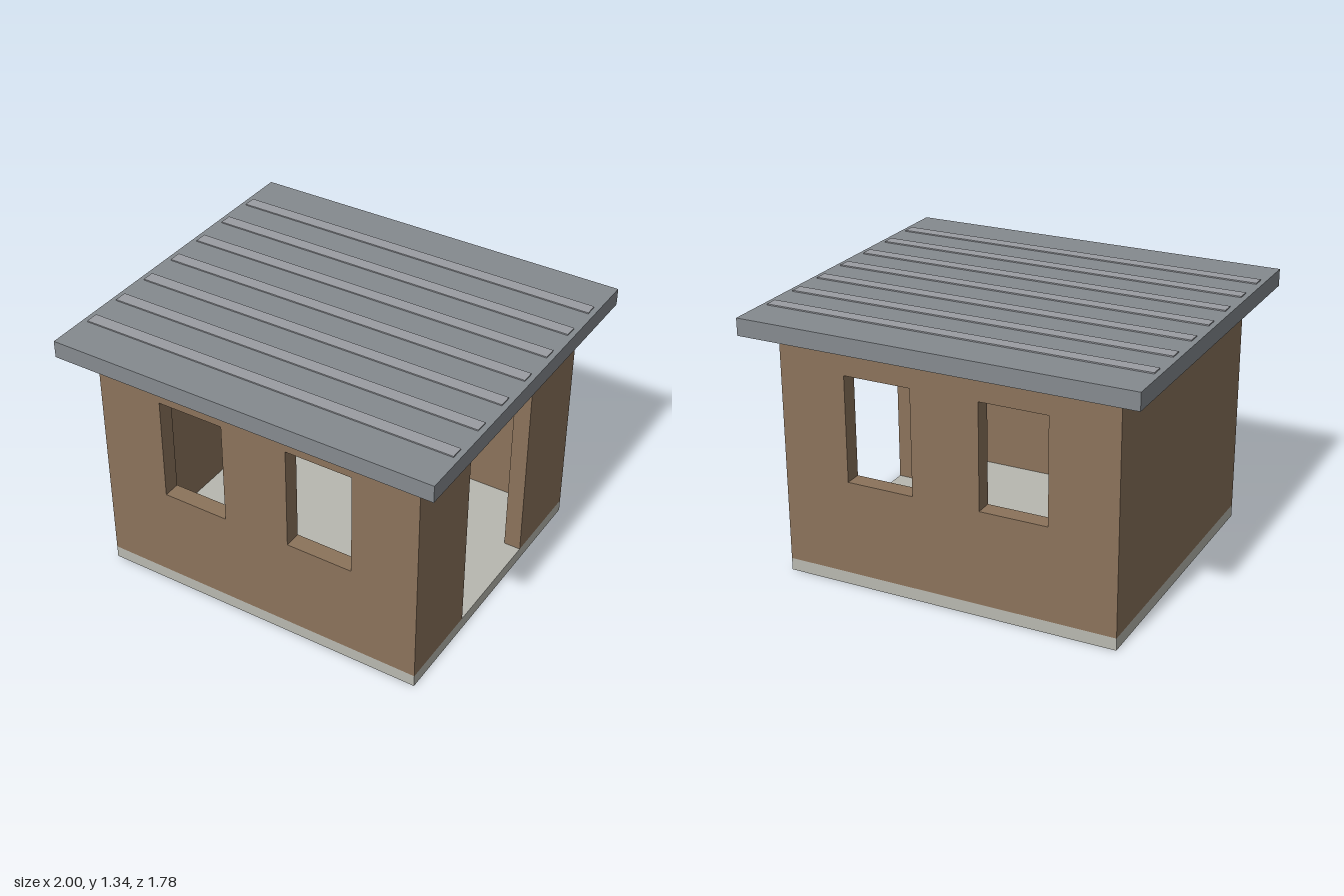
import * as THREE from 'three';

const HALF_X = 0.864, HALF_Z = 0.756, THICK = 0.087;
const FLOOR = 0.063, EAVES = 1.245, ROOF_TOP = 1.332, LINTEL_TOP = 1.19;

const material = (color) => new THREE.MeshStandardMaterial({ color, flatShading: true });

function box(name, w, h, d, x, y, z, mat) {
  const mesh = new THREE.Mesh(new THREE.BoxGeometry(w, h, d), mat);
  mesh.name = name;
  mesh.position.set(x, y, z);
  return mesh;
}

// Wall panel centred on its own x and z; each opening has a lintel with a slot above it.
function wall(name, width, openings, mat) {
  const half = width / 2;
  const shape = new THREE.Shape();
  shape.moveTo(-half, FLOOR);
  // bottom edge, notched for doors
  for (const { c, w, y0, y1 } of openings) {
    if (y0 > FLOOR) continue;
    shape.lineTo(c - w / 2, FLOOR);
    shape.lineTo(c - w / 2, y1);
    shape.lineTo(c + w / 2, y1);
    shape.lineTo(c + w / 2, FLOOR);
  }
  shape.lineTo(half, FLOOR);
  shape.lineTo(half, EAVES);
  // top edge, notched above every lintel
  for (const { c, w } of [...openings].reverse()) {
    shape.lineTo(c + w / 2, EAVES);
    shape.lineTo(c + w / 2, LINTEL_TOP);
    shape.lineTo(c - w / 2, LINTEL_TOP);
    shape.lineTo(c - w / 2, EAVES);
  }
  shape.lineTo(-half, EAVES);
  shape.closePath();
  // window holes
  for (const { c, w, y0, y1 } of openings) {
    if (y0 <= FLOOR) continue;
    const hole = new THREE.Path();
    hole.moveTo(c - w / 2, y0);
    hole.lineTo(c - w / 2, y1);
    hole.lineTo(c + w / 2, y1);
    hole.lineTo(c + w / 2, y0);
    hole.closePath();
    shape.holes.push(hole);
  }
  const geometry = new THREE.ExtrudeGeometry(shape, { depth: THICK, bevelEnabled: false });
  geometry.translate(0, 0, -THICK / 2);
  const mesh = new THREE.Mesh(geometry, mat);
  mesh.name = name;
  return mesh;
}

export function createModel() {
  const group = new THREE.Group();
  group.name = 'hut';
  const brown = material(0x8b735b);
  const concrete = material(0xb8b8b0);
  const roofGrey = material(0x858a8f);
  const ribGrey = material(0x9a9da2);

  // floor slab
  group.add(box('floorSlab', HALF_X * 2, FLOOR, HALF_Z * 2, 0, FLOOR / 2, 0, concrete));

  // front and back walls with two windows each
  const windows = [-0.347, 0.347].map((c) => ({ c, w: 0.346, y0: 0.545, y1: 1.085 }));
  for (const [name, side] of [['frontWall', 1], ['backWall', -1]]) {
    const panel = wall(name, HALF_X * 2, windows, brown);
    panel.position.z = side * (HALF_Z - THICK / 2);
    group.add(panel);
  }

  // side walls between them: doorway on the left, plain on the right
  const sideWidth = (HALF_Z - THICK) * 2;
  const door = [{ c: 0, w: 0.6, y0: FLOOR, y1: 1.136 }];
  for (const [name, side, openings] of [['leftDoorWall', 1, door], ['rightWall', -1, []]]) {
    const panel = wall(name, sideWidth, openings, brown);
    panel.rotation.y = Math.PI / 2;
    panel.position.x = side * (HALF_X - THICK / 2);
    group.add(panel);
  }

  // flat roof with shallow ribs
  group.add(box('roof', 2, ROOF_TOP - EAVES, 1.78, 0, (ROOF_TOP + EAVES) / 2, 0, roofGrey));
  for (let i = -3; i <= 3; i++) {
    group.add(box('roofRib', 1.945, 0.016, 0.065, 0, ROOF_TOP - 0.002, i * 0.216, ribGrey));
  }
  return group;
}
